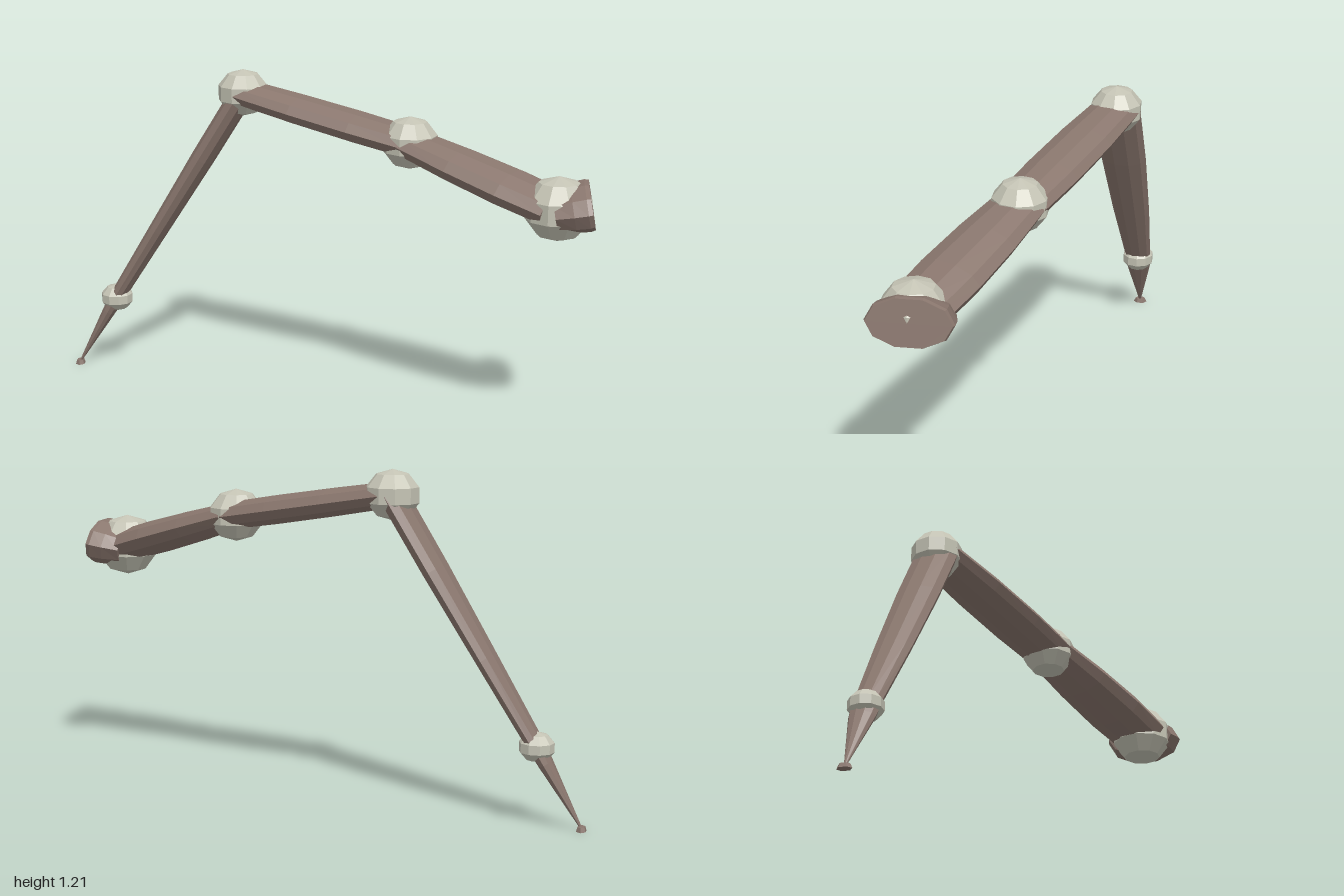
import * as THREE from 'three';

const SIDES = 10;

// Closed tube with elliptical rings. Stations are [t along the axis, wide half, thin half];
// the wide axis always lies horizontal.
function limbGeometry(from, to, stations) {
  const start = new THREE.Vector3(...from);
  const end = new THREE.Vector3(...to);
  const axis = end.clone().sub(start).normalize();
  const wide = new THREE.Vector3(0, 1, 0).cross(axis).normalize();
  const thin = axis.clone().cross(wide);
  const positions = [];
  const index = [];
  for (const [t, a, b] of stations) {
    const centre = start.clone().lerp(end, t);
    for (let j = 0; j < SIDES; j++) {
      const angle = (j / SIDES) * Math.PI * 2;
      const p = centre.clone()
        .addScaledVector(wide, Math.cos(angle) * a)
        .addScaledVector(thin, Math.sin(angle) * b);
      positions.push(p.x, p.y, p.z);
    }
  }
  const last = (stations.length - 1) * SIDES;
  for (let i = 0; i < last; i += SIDES) {
    for (let j = 0; j < SIDES; j++) {
      const k = (j + 1) % SIDES;
      index.push(i + j, i + k, i + SIDES + k, i + j, i + SIDES + k, i + SIDES + j);
    }
  }
  // flat end caps
  for (let j = 1; j < SIDES - 1; j++) {
    index.push(0, j + 1, j, last, last + j, last + j + 1);
  }
  const geometry = new THREE.BufferGeometry();
  geometry.setAttribute('position', new THREE.Float32BufferAttribute(positions, 3));
  geometry.setIndex(index);
  const flat = geometry.toNonIndexed();
  flat.computeVertexNormals();
  return flat;
}

export function createModel() {
  const group = new THREE.Group();
  const shell = new THREE.MeshStandardMaterial({ color: 0x8a776e, flatShading: true });
  shell.name = 'brownShell';
  const joint = new THREE.MeshStandardMaterial({ color: 0xc4c3b4, flatShading: true });
  joint.name = 'paleJoint';

  const add = (name, geometry, material) => {
    const mesh = new THREE.Mesh(geometry, material);
    mesh.name = name;
    group.add(mesh);
    return mesh;
  };

  // Joint centres from the body outwards
  const hip = [0.87, 0.845, 0.243];
  const middle = [0.34, 1.005, -0.015];
  const knee = [-0.305, 1.123, -0.272];
  const ankle = [-0.825, 0.284, -0.325];
  const tip = [-0.981, 0.012, -0.326];

  // Leg segments
  const segments = [
    ['hipSegment', [0.86, 0.838, 0.238], [0.985, 0.861, 0.238],
      [[0, 0.13, 0.07], [0.5, 0.144, 0.083], [0.88, 0.147, 0.087], [1, 0.142, 0.083]]],
    ['upperSegment', middle, [0.86, 0.845, 0.24],
      [[0, 0.1, 0.05], [0.35, 0.12, 0.059], [0.7, 0.128, 0.064], [1, 0.12, 0.062]]],
    ['middleSegment', knee, middle,
      [[0, 0.092, 0.047], [0.35, 0.106, 0.052], [0.7, 0.108, 0.054], [1, 0.1, 0.052]]],
    ['shin', ankle, knee,
      [[0, 0.051, 0.029], [0.35, 0.073, 0.036], [0.7, 0.087, 0.043], [1, 0.09, 0.044]]],
    ['claw', tip, ankle,
      [[0, 0.004, 0.004], [0.8, 0.047, 0.026], [1, 0.053, 0.03]]],
  ];
  for (const [name, from, to, stations] of segments) {
    add(name, limbGeometry(from, to, stations), shell);
  }

  // Faceted ball joints
  const balls = [
    ['hipJoint', hip, 0.121, 0.115],
    ['middleJoint', middle, 0.104, 0.096],
    ['kneeJoint', knee, 0.098, 0.088],
    ['ankleJoint', ankle, 0.064, 0.053],
  ];
  for (const [name, centre, radius, height] of balls) {
    const ball = add(name, new THREE.SphereGeometry(1, SIDES, 5), joint);
    ball.scale.set(radius, height, radius);
    ball.position.set(...centre);
  }

  // Small foot pad
  const foot = add('foot', new THREE.CylinderGeometry(0.014, 0.019, 0.016, 6), shell);
  foot.scale.z = 1.4;
  foot.position.set(-0.983, 0.008, -0.327);

  return group;
}
